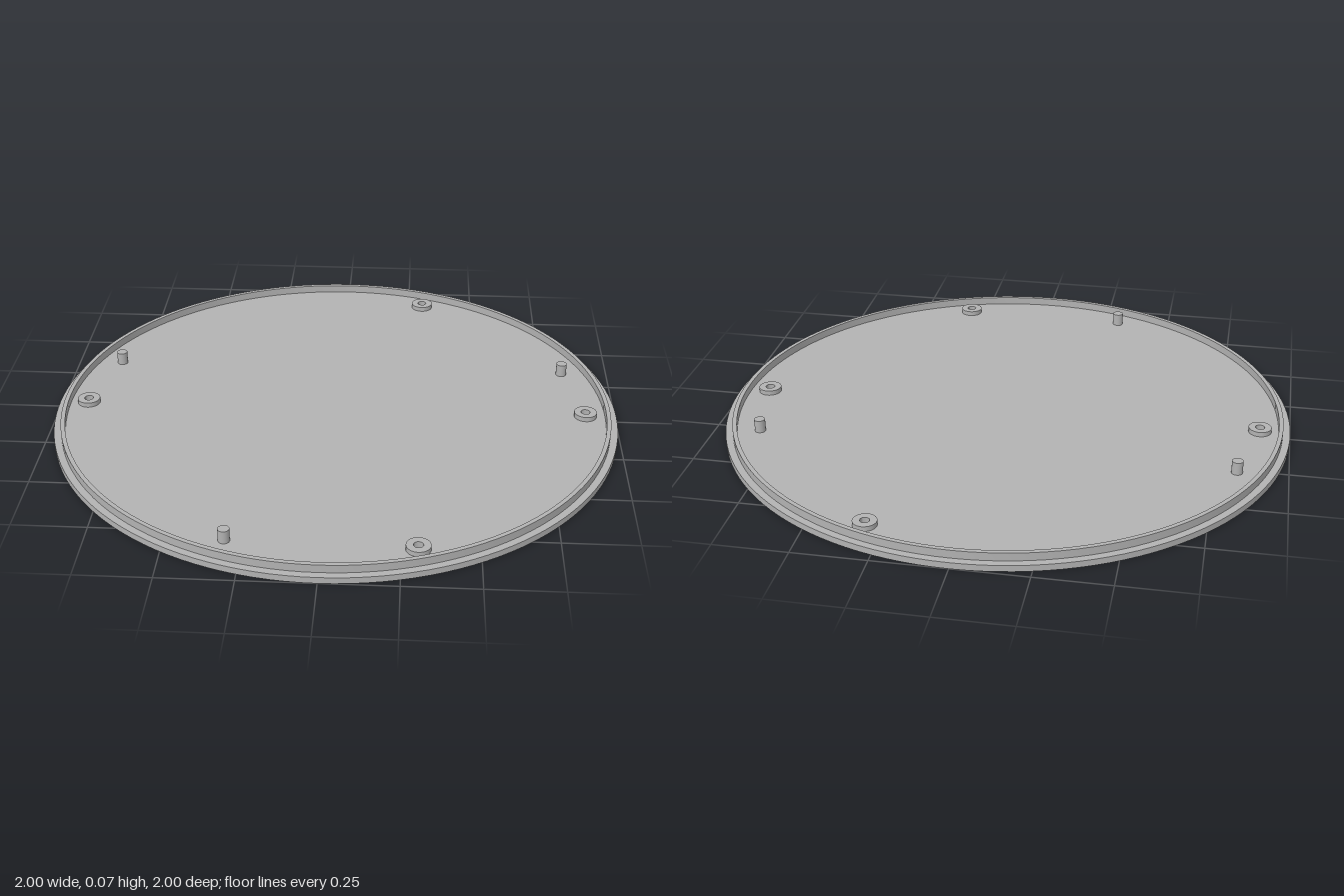
import * as THREE from 'three';
import { toCreasedNormals } from 'three/addons/utils/BufferGeometryUtils.js';

const FLOOR = 0.022;   // top of the plate
const RIM_TOP = 0.05;
const BOSS_TOP = 0.039;
const PEG_TOP = 0.067;
const HOLE = 0.016;
const SINK = 0.028;    // countersink radius on the underside

const screwSpots = [[0.89, 0], [-0.895, 0], [0.303, -0.838], [0.303, 0.838]];
const pegSpots = [[-0.828, -0.303], [0.826, -0.303], [-0.303, 0.826]];

export function createModel() {
  const grey = new THREE.MeshStandardMaterial({ color: 0xb2b2b2 });
  grey.name = 'light grey plastic';
  const model = new THREE.Group();
  model.name = 'roundCover';

  const add = (name, geometry, x = 0, y = 0, z = 0) => {
    const mesh = new THREE.Mesh(geometry, grey);
    mesh.name = name;
    mesh.position.set(x, y, z);
    model.add(mesh);
    return mesh;
  };
  const lathe = (profile, sides) => toCreasedNormals(
    new THREE.LatheGeometry(profile.map(([r, y]) => new THREE.Vector2(r, y)), sides), 0.5);

  // Flat disc pierced by the screw holes, facing +y
  const disc = (radius, holeRadius, flip) => {
    const shape = new THREE.Shape().absarc(0, 0, radius, 0, Math.PI * 2);
    for (const [x, z] of screwSpots) {
      shape.holes.push(new THREE.Path().absarc(x, flip ? z : -z, holeRadius, 0, Math.PI * 2, true));
    }
    return new THREE.ShapeGeometry(shape, 64).rotateX(flip ? Math.PI / 2 : -Math.PI / 2);
  };
  add('plateFloor', disc(0.96, HOLE, false), 0, FLOOR, 0);
  add('plateUnderside', disc(1, SINK, true));

  // Outer edge, ledge and raised rim in one profile
  add('rim', lathe([[1, 0], [1, FLOOR], [0.975, FLOOR], [0.975, RIM_TOP],
    [0.96, RIM_TOP], [0.96, FLOOR]], 128));

  // Screw bosses with through holes, countersunk from below
  const boss = lathe([[0.04, FLOOR], [0.04, BOSS_TOP], [HOLE, BOSS_TOP],
    [HOLE, 0.013], [SINK, 0]], 32);
  screwSpots.forEach(([x, z]) => add('screwBoss', boss, x, 0, z));

  // Locating pegs
  const peg = new THREE.CylinderGeometry(0.019, 0.019, PEG_TOP - FLOOR, 24);
  pegSpots.forEach(([x, z]) => add('locatingPeg', peg, x, (PEG_TOP + FLOOR) / 2, z));

  return model;
}
